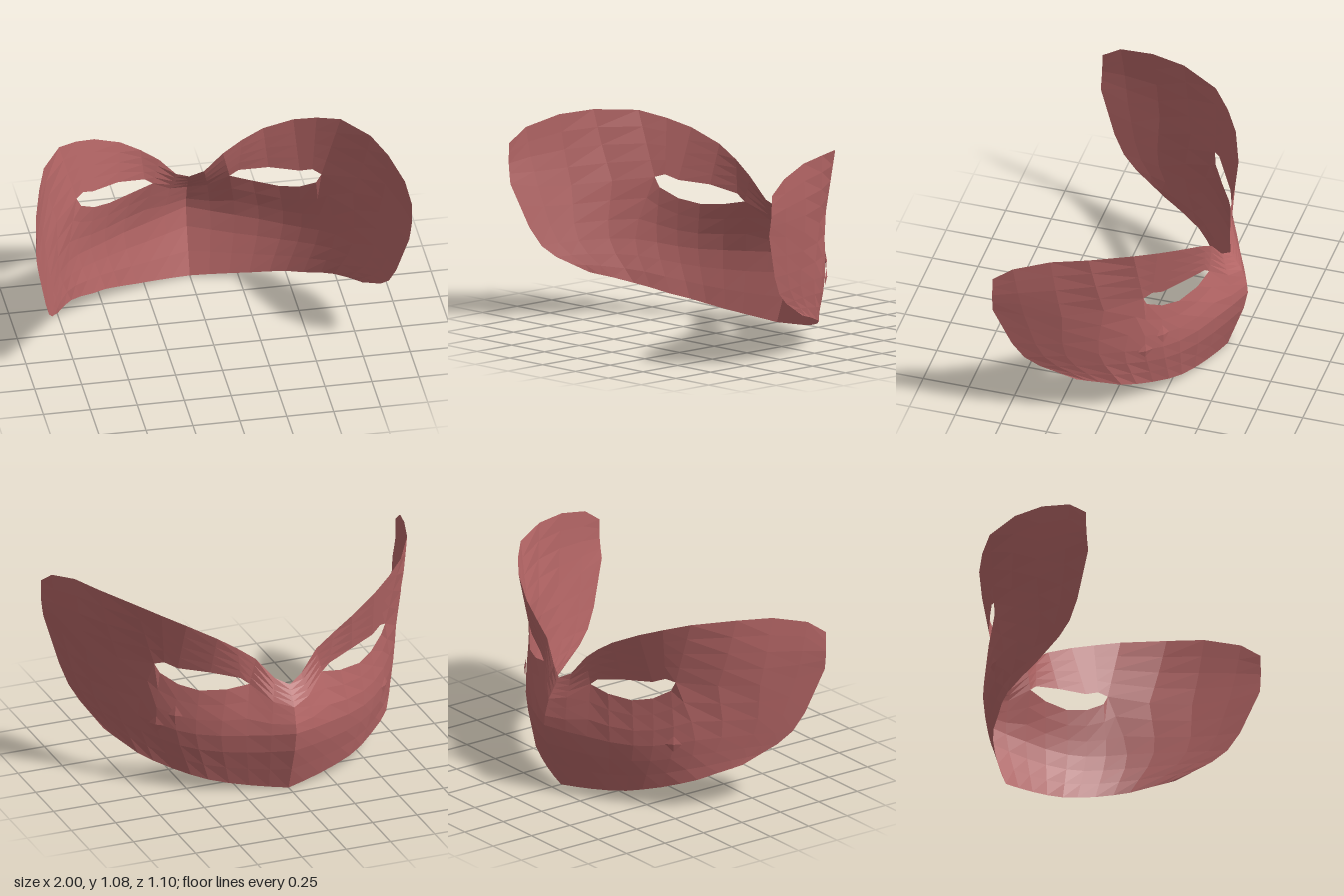
import * as THREE from 'three';

// Cross-section rows of one half, from the centre line out to the temple: [x, y, z]
const chin = [
  [0, 0, -0.44], [0.1, 0.012, -0.415], [0.2, 0.025, -0.385], [0.3, 0.04, -0.35],
  [0.4, 0.06, -0.31], [0.48, 0.082, -0.265], [0.56, 0.105, -0.2], [0.64, 0.135, -0.135],
  [0.7, 0.16, -0.07], [0.755, 0.195, 0.03], [0.785, 0.213, 0.09], [0.81, 0.23, 0.145],
];
const cheek = [
  [0, 0.36, -0.55], [0.12, 0.35, -0.5], [0.24, 0.345, -0.445], [0.36, 0.34, -0.39],
  [0.475, 0.34, -0.32], [0.56, 0.35, -0.255], [0.64, 0.37, -0.18], [0.71, 0.39, -0.09],
  [0.78, 0.4, 0.03], [0.845, 0.4, 0.19], [0.88, 0.397, 0.3], [0.905, 0.39, 0.4],
];
const eyeLower = [
  [0, 0.5, -0.52], [0.1, 0.53, -0.475], [0.205, 0.62, -0.4], [0.32, 0.595, -0.37],
  [0.45, 0.585, -0.31], [0.545, 0.61, -0.245], [0.625, 0.665, -0.185], [0.652, 0.718, -0.175],
  [0.79, 0.7, 0], [0.89, 0.69, 0.2], [0.945, 0.7, 0.39], [0.985, 0.73, 0.55],
];
const brow = [
  [0, 0.605, -0.455], [0.075, 0.645, -0.43], [0.17, 0.76, -0.405], [0.27, 0.835, -0.4],
  [0.38, 0.905, -0.385], [0.53, 0.98, -0.325], [0.64, 1.025, -0.25], [0.75, 1.065, -0.15],
  [0.87, 1.08, 0.06], [0.93, 1.07, 0.25], [0.983, 1.02, 0.44], [1, 0.945, 0.545],
];
// Upper eyelid, only where the eye is open
const eyeUpper = {
  3: [0.25, 0.657, -0.39], 4: [0.4, 0.692, -0.335], 5: [0.55, 0.706, -0.25], 6: [0.61, 0.733, -0.21],
};

const vec = (p) => new THREE.Vector3(...p);

// Joins neighbouring columns of points into a faceted sheet
function sheet(columns, side) {
  const positions = [];
  const add = (...points) => points.forEach((p) => positions.push(p.x * side, p.y, p.z));
  for (let i = 0; i + 1 < columns.length; i++) {
    const a = columns[i];
    const b = columns[i + 1];
    for (let j = 0; j + 1 < a.length; j++) {
      const quad = [a[j], a[j + 1], b[j + 1], b[j]];
      if (side < 0) quad.reverse();
      add(quad[0], quad[1], quad[2]);
      add(quad[0], quad[2], quad[3]);
    }
  }
  const geometry = new THREE.BufferGeometry();
  geometry.setAttribute('position', new THREE.Float32BufferAttribute(positions, 3));
  geometry.computeVertexNormals();
  return geometry;
}

export function createModel() {
  const model = new THREE.Group();
  model.name = 'mask';
  const red = new THREE.MeshStandardMaterial({ color: 0xb56666, flatShading: true, side: THREE.DoubleSide });
  red.name = 'dustyRed';

  const addMesh = (geometry, name) => {
    const mesh = new THREE.Mesh(geometry, red);
    mesh.name = name;
    model.add(mesh);
    return mesh;
  };

  // Cheek columns curve from the chin edge up to the lower eyelid
  const lowerColumns = chin.map((p, i) =>
    new THREE.CatmullRomCurve3([vec(p), vec(cheek[i]), vec(eyeLower[i])]).getPoints(6));

  // Brow columns run from the upper eyelid to the top edge, bulging slightly outwards
  const upperColumns = brow.map((p, i) => {
    const start = vec(eyeUpper[i] || eyeLower[i]);
    const end = vec(p);
    const middle = start.clone().lerp(end, 0.5);
    if (i > 7) middle.x += 0.008;
    return new THREE.CatmullRomCurve3([start, middle, end]).getPoints(4);
  });

  for (const [side, label] of [[1, 'left'], [-1, 'right']]) {
    addMesh(sheet(lowerColumns, side), label + 'Cheek');
    addMesh(sheet(upperColumns, side), label + 'Brow');
  }

  // Small diamond studs lying on the outer face of the cheeks
  const addStud = (side, column, row, width, height) => {
    const at = lowerColumns[column][row];
    const along = lowerColumns[column + 1][row].clone().sub(lowerColumns[column - 1][row]);
    const up = lowerColumns[column][row + 1].clone().sub(lowerColumns[column][row - 1]);
    const normal = along.cross(up).normalize().negate();
    const stud = addMesh(new THREE.ConeGeometry(1, 0.008, 4), 'cheekStud');
    stud.geometry.scale(width / 2, 1, height / 2);
    stud.geometry.rotateX(Math.PI / 2);
    stud.position.copy(at).addScaledVector(normal, 0.008);
    stud.position.x *= side;
    normal.x *= side;
    stud.lookAt(stud.position.clone().add(normal));
  };
  addStud(1, 6, 3, 0.09, 0.09);
  addStud(1, 5, 4, 0.08, 0.11);
  addStud(-1, 6, 3, 0.09, 0.09);

  return model;
}
